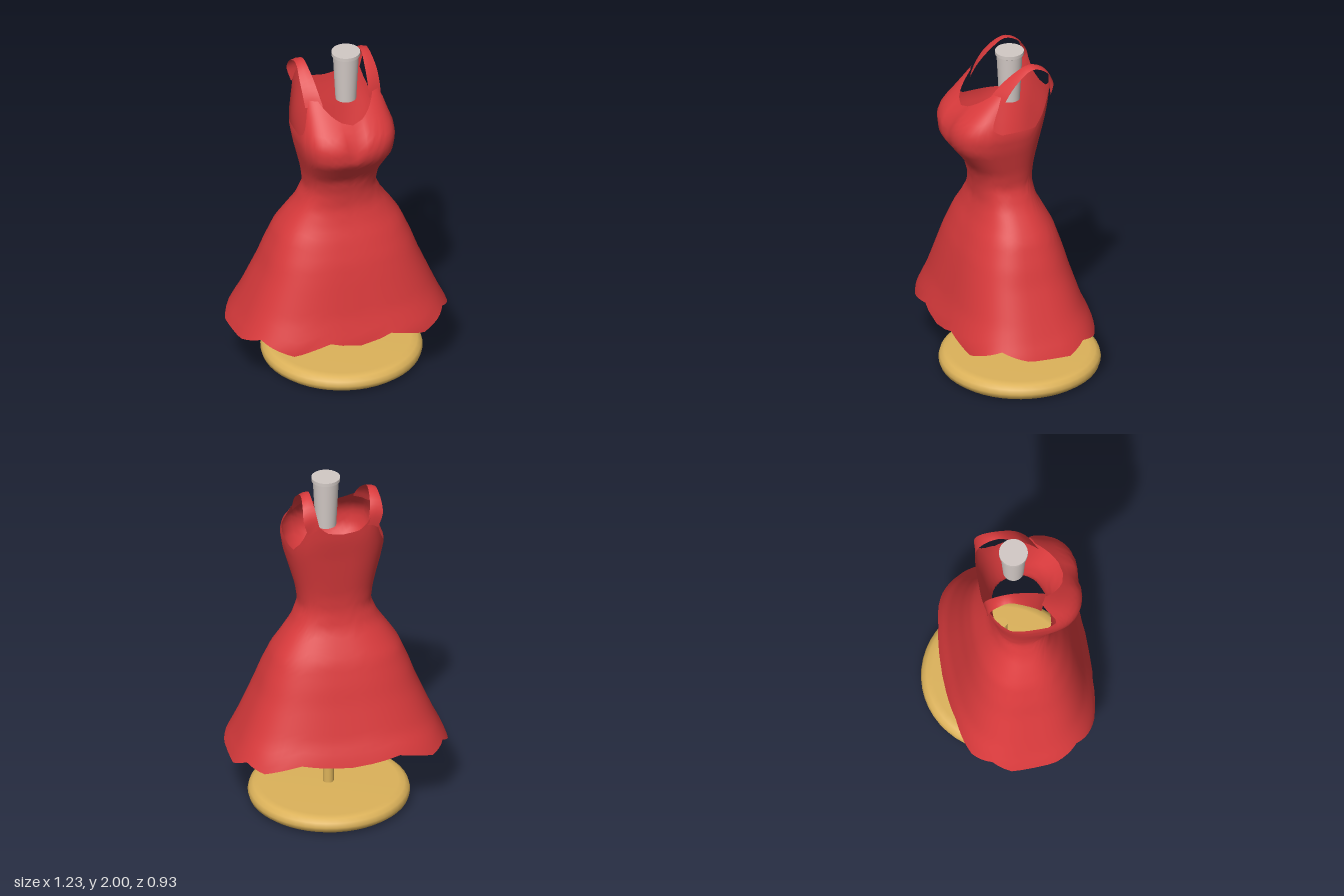
import * as THREE from 'three';

const fabric = new THREE.MeshStandardMaterial({ color: 0xd93a3c, side: THREE.DoubleSide });
const wood = new THREE.MeshStandardMaterial({ color: 0xdcb25a });
const ivory = new THREE.MeshStandardMaterial({ color: 0xd2c9c5 });

// Body sections: height, half width, front z, back z, squareness
const SECTIONS = [
  [0.30, 0.625, 0.465, -0.375, 2.9], [0.36, 0.60, 0.46, -0.365, 2.9],
  [0.42, 0.57, 0.44, -0.345, 2.9], [0.50, 0.535, 0.415, -0.31, 2.8],
  [0.70, 0.45, 0.37, -0.25, 2.7], [0.80, 0.415, 0.345, -0.225, 2.6],
  [0.93, 0.36, 0.30, -0.185, 2.5], [1.00, 0.315, 0.27, -0.15, 2.4],
  [1.10, 0.245, 0.24, -0.098, 2.4], [1.20, 0.202, 0.245, -0.08, 2.4],
  [1.30, 0.215, 0.27, -0.085, 2.5], [1.38, 0.236, 0.33, -0.098, 2.6],
  [1.48, 0.262, 0.405, -0.115, 2.8], [1.57, 0.275, 0.41, -0.13, 3],
  [1.63, 0.268, 0.38, -0.142, 3.2], [1.70, 0.25, 0.305, -0.155, 3.4],
  [1.80, 0.235, 0.20, -0.165, 3.6], [1.86, 0.228, 0.13, -0.16, 3.6],
];

// Hem and neckline heights by angle from the front (0) to the back (180)
const HEM = [[0, 0.335], [10, 0.373], [29, 0.316], [60, 0.385], [80, 0.335],
  [100, 0.32], [115, 0.37], [135, 0.34], [160, 0.395], [180, 0.365]];
const RIM = [[0, 1.685], [15, 1.74], [30, 1.80], [50, 1.80], [62, 1.74], [72, 1.64],
  [85, 1.60], [115, 1.60], [125, 1.66], [135, 1.77], [150, 1.83], [160, 1.79],
  [170, 1.755], [180, 1.74]];

// Linear lookup in a table keyed by its first column
function lookup(table, key) {
  let i = 0;
  while (i < table.length - 2 && table[i + 1][0] < key) i++;
  const a = table[i], b = table[i + 1];
  const f = THREE.MathUtils.clamp((key - a[0]) / (b[0] - a[0]), 0, 1);
  return a.slice(1).map((v, k) => v + (b[k + 1] - v) * f);
}

// Grid of points to a smooth surface
function surface(rows, closed) {
  const n = rows[0].length, index = [];
  for (let i = 0; i < rows.length - 1; i++) {
    for (let j = 0; j < (closed ? n : n - 1); j++) {
      const k = (j + 1) % n;
      const a = i * n + j, b = i * n + k, c = a + n, d = b + n;
      index.push(a, b, d, a, d, c);
    }
  }
  const g = new THREE.BufferGeometry();
  g.setAttribute('position', new THREE.Float32BufferAttribute(rows.flat(2), 3));
  g.setIndex(index);
  g.computeVertexNormals();
  return g;
}

function bodyPoint(deg, u) {
  const fromFront = deg > 180 ? 360 - deg : deg;
  const y = THREE.MathUtils.lerp(lookup(HEM, fromFront)[0], lookup(RIM, fromFront)[0], u);
  const [w, zf, zb, n] = lookup(SECTIONS, y);
  const t = THREE.MathUtils.degToRad(deg), s = Math.sin(t), c = Math.cos(t);
  const x = w * Math.sign(s) * Math.abs(s) ** (2 / n);
  let z = (zf + zb) / 2 + (zf - zb) / 2 * Math.sign(c) * Math.abs(c) ** (2 / n);
  // Shallow hollow between the two sides of the bust
  if (c > 0) z -= 0.025 * Math.exp(-((x / 0.04) ** 2) - ((y - 1.6) / 0.07) ** 2);
  return [x, y, z];
}

function dressBody() {
  const rows = [], R = 40, C = 72;
  for (let i = 0; i <= R; i++) {
    const row = [];
    for (let j = 0; j < C; j++) row.push(bodyPoint(j * 360 / C, i / R));
    rows.push(row);
  }
  return surface(rows, true);
}

// Ribbon over the shoulder between an inner and an outer edge curve
function strap(side) {
  const edge = pts => new THREE.CatmullRomCurve3(
    pts.map(([x, y, z]) => new THREE.Vector3(x * side, y, z))).getPoints(20);
  const inner = edge([[0.135, 1.77, 0.20], [0.145, 1.83, 0.155], [0.155, 1.90, 0.075],
    [0.165, 1.95, -0.02], [0.16, 1.92, -0.10], [0.15, 1.86, -0.145], [0.135, 1.78, -0.155]]);
  const outer = edge([[0.222, 1.75, 0.155], [0.225, 1.81, 0.125], [0.225, 1.88, 0.07],
    [0.215, 1.94, -0.025], [0.222, 1.91, -0.105], [0.225, 1.84, -0.145], [0.20, 1.75, -0.14]]);
  const rows = inner.map((p, i) => {
    const q = outer[i], m = p.clone().lerp(q, 0.5);
    m.y += 0.006; // slight crown across the ribbon
    const row = [p.toArray(), m.toArray(), q.toArray()];
    return side > 0 ? row.reverse() : row;
  });
  return surface(rows.reverse(), false);
}

function lathe(points, segments = 48) {
  return new THREE.LatheGeometry(points.map(p => new THREE.Vector2(...p)), segments);
}

export function createModel() {
  const model = new THREE.Group();
  const add = (name, geometry, material, parent = model) => {
    const mesh = new THREE.Mesh(geometry, material);
    mesh.name = name;
    parent.add(mesh);
    return mesh;
  };

  // Dress
  const dress = new THREE.Group();
  dress.name = 'dress';
  model.add(dress);
  add('dressBody', dressBody(), fabric, dress);
  add('leftStrap', strap(1), fabric, dress);
  add('rightStrap', strap(-1), fabric, dress);

  // Round base with a rolled rim
  const base = add('base', lathe([[0, 0], [0.385, 0], [0.42, 0.008], [0.443, 0.026],
    [0.45, 0.05], [0.443, 0.076], [0.42, 0.094], [0.385, 0.102], [0, 0.102]]), wood);
  base.position.set(0.052, 0, -0.017);

  // Post
  const post = add('post', new THREE.CylinderGeometry(0.03, 0.03, 0.8, 24), wood);
  post.position.set(0.055, 0.5, -0.017);

  // Neck of the stand with a lipped top
  const neck = add('neck', lathe([[0, 1.70], [0.058, 1.70], [0.058, 1.70], [0.072, 1.975],
    [0.072, 1.975], [0.08, 1.98], [0.08, 1.98], [0.08, 2], [0.08, 2], [0, 2]]), ivory);
  neck.position.set(0.055, 0, 0.046);

  return model;
}
